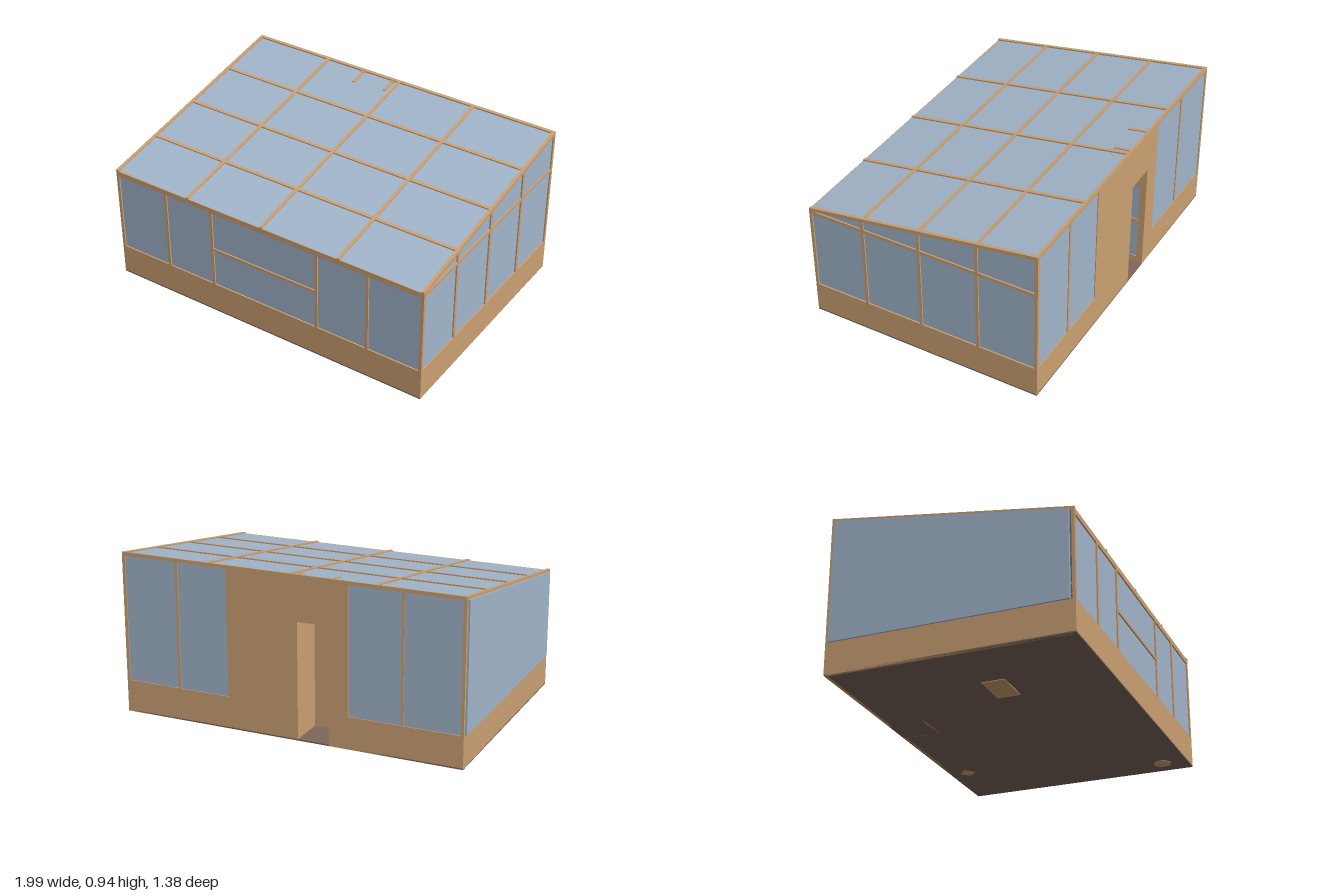
import * as THREE from 'three';

const wood = new THREE.MeshStandardMaterial({ color: 0xcda274 });
const glass = new THREE.MeshStandardMaterial({ color: 0xa3b7cc, side: THREE.DoubleSide });
const floorMat = new THREE.MeshStandardMaterial({ color: 0x7d675c });

const X = 0.99, Z = 0.688, T = 0.018;      // half width, half depth, timber size
const BASE = 0.017, SILL = 0.2, RAIL = 0.69;
const SLOPE = (0.935 - 0.715) / (2 * Z);
const roofY = z => 0.825 - SLOPE * z;      // top of the sloping roof

export function createModel() {
  const model = new THREE.Group();

  // Box given by its limits along each axis
  const box = (name, mat, x0, x1, y0, y1, z0, z1, parent = model) => {
    const mesh = new THREE.Mesh(new THREE.BoxGeometry(x1 - x0, y1 - y0, z1 - z0), mat);
    mesh.position.set((x0 + x1) / 2, (y0 + y1) / 2, (z0 + z1) / 2);
    mesh.name = name;
    parent.add(mesh);
    return mesh;
  };

  // Panel drawn as [z, y] corners and extruded along x
  const sidePanel = (name, mat, x0, x1, corners) => {
    const shape = new THREE.Shape(corners.map(([z, y]) => new THREE.Vector2(-z, y)));
    const geo = new THREE.ExtrudeGeometry(shape, { depth: x1 - x0, bevelEnabled: false });
    geo.rotateY(Math.PI / 2);
    geo.translate(x0, 0, 0);
    const mesh = new THREE.Mesh(geo, mat);
    mesh.name = name;
    model.add(mesh);
  };

  // Sloped strip following the roof between z0 and z1
  const sloped = (name, mat, x0, x1, z0, z1, top, bottom) => sidePanel(name, mat, x0, x1, [
    [z0, roofY(z0) - bottom], [z1, roofY(z1) - bottom],
    [z1, roofY(z1) - top], [z0, roofY(z0) - top]]);

  // Floor and low walls
  box('floor', floorMat, -X, X, BASE, BASE + 0.008, -Z, Z);
  box('frontLowWall', wood, -X, X, BASE, SILL, Z - T, Z);
  for (const s of [-1, 1]) {
    const a = s * X, b = s * (X - T);
    box('sideLowWall', wood, Math.min(a, b), Math.max(a, b), BASE, SILL, -Z + T, Z - T);
  }

  // Front: posts, rails and recessed glazing
  for (const x of [-X + T / 2, -0.65, -0.34, 0.34, 0.655, X - T / 2])
    box('frontPost', wood, x - T / 2, x + T / 2, SILL, RAIL, Z - T, Z);
  box('frontTopRail', wood, -X, X, 0.675, 0.7, Z - T, Z);
  box('frontMiddleRail', wood, -0.34, 0.34, 0.427, 0.443, Z - T, Z);
  box('frontGlass', glass, -X + T, X - T, SILL, 0.675, Z - 0.013, Z - 0.008);

  // Framed side: posts, rail and two rows of panes
  const posts = [Z - T / 2, 0.353, 0.01, -0.335, -Z + T / 2];
  for (const z of posts)
    sidePanel('sidePost', wood, X - T, X, [
      [z + T / 2, SILL], [z - T / 2, SILL],
      [z - T / 2, roofY(z - T / 2) - 0.012], [z + T / 2, roofY(z + T / 2) - 0.012]]);
  box('sideRail', wood, X - T, X, RAIL - 0.009, RAIL + 0.009, -Z + T, Z - T);
  box('sideLowerGlass', glass, X - 0.013, X - 0.008, SILL, RAIL, -Z + T, Z - T);
  sidePanel('sideUpperGlass', glass, X - 0.013, X - 0.008, [
    [Z - T, RAIL], [-Z + T, RAIL], [-Z + T, roofY(-Z + T) - 0.02], [Z - T, roofY(Z - T) - 0.02]]);

  // Plain side: one large pane standing just proud of the frame
  sidePanel('plainSideGlass', glass, -1, -X + 0.004, [
    [0.66, SILL], [-0.67, SILL], [-0.67, roofY(-0.67) - 0.016], [0.66, roofY(0.66) - 0.016]]);
  for (const z of [Z - T / 2, -Z + T / 2])
    sidePanel('cornerPost', wood, -X, -X + T, [
      [z + T / 2, SILL], [z - T / 2, SILL],
      [z - T / 2, roofY(z - T / 2) - 0.012], [z + T / 2, roofY(z + T / 2) - 0.012]]);

  // Back wall with a doorway and two pairs of window openings
  const rect = (x0, x1, y0, y1, Type = THREE.Path) => new Type([
    [x0, y0], [x1, y0], [x1, y1], [x0, y1]].map(p => new THREE.Vector2(...p)));
  const wall = new THREE.Shape([
    [-X, BASE], [-0.24, BASE], [-0.24, 0.68], [-0.06, 0.68], [-0.06, BASE], [X, BASE],
    [X, 0.932], [-X, 0.932]].map(p => new THREE.Vector2(...p)));
  const windows = [[-0.982, -0.66], [-0.645, -0.35], [0.355, 0.648], [0.663, 0.982]];
  for (const [a, b] of windows) {
    wall.holes.push(rect(a, b, SILL, 0.915));
    box('backGlass', glass, a, b, SILL, 0.915, -Z + 0.005, -Z + 0.01);
  }
  const back = new THREE.Mesh(new THREE.ExtrudeGeometry(wall, { depth: T, bevelEnabled: false }), wood);
  back.position.z = -Z;
  back.name = 'backWall';
  model.add(back);

  // Entrance lobby behind the doorway: solid side, end strip, open glazed door
  box('lobbySide', wood, -0.06, -0.045, BASE, 0.7, -Z + T, -0.48);
  box('lobbyEnd', wood, -0.24, -0.045, BASE, 0.7, -0.48, -0.465);
  const door = new THREE.Group();
  door.name = 'door';
  model.add(door);
  for (const [y0, y1] of [[0.025, 0.06], [0.3, 0.32], [0.55, 0.68]])
    box('doorRail', wood, -0.255, -0.24, y0, y1, -Z + T, -0.48, door);
  for (const z of [-Z + T, -0.5])
    box('doorStile', wood, -0.255, -0.24, 0.025, 0.68, z, z + 0.02, door);
  box('doorGlass', glass, -0.25, -0.245, 0.06, 0.55, -Z + T + 0.02, -0.5, door);

  // Roof: glass sheet, rafters and purlins
  sloped('roofGlass', glass, -X + 0.004, X - 0.004, Z - 0.004, -Z + T, 0.008, 0.013);
  for (const x of [-X + T / 2, -0.495, -0.008, 0.48, X - T / 2])
    sloped('rafter', wood, x - T / 2, x + T / 2, Z, -Z, 0, 0.02);
  for (const z of [0.35, 0.008, -0.337])
    sloped('purlin', wood, -X, X, z + T / 2, z - T / 2, 0.001, 0.019);
  sloped('eavesBeam', wood, -X, X, Z, Z - T, 0.008, 0.022);
  sloped('ridgeBeam', wood, -X, X, -Z + T, -Z, 0, 0.02);

  // Small brackets by the ridge
  for (const [x, z] of [[-0.245, -0.56], [-0.045, -0.575]]) {
    sloped('bracketArm', wood, x - 0.008, x + 0.008, z, -0.665, 0.002, 0.03);
    sloped('bracketHead', wood, x - 0.013, x + 0.013, -0.655, -0.667, 0.001, 0.03);
  }

  // Feet and plate under the floor
  box('underPlate', wood, -0.61, -0.39, 0.013, 0.02, 0.025, 0.155);
  const disc = new THREE.Mesh(new THREE.CylinderGeometry(0.05, 0.05, 0.006, 24), wood);
  disc.position.set(0.87, 0.0175, 0.54);
  disc.name = 'underDisc';
  model.add(disc);
  const foot = new THREE.Mesh(new THREE.ConeGeometry(0.06, 0.02, 4), wood);
  foot.rotation.x = Math.PI;
  foot.position.set(0.585, 0.01, -0.58);
  foot.name = 'foot';
  model.add(foot);

  return model;
}
